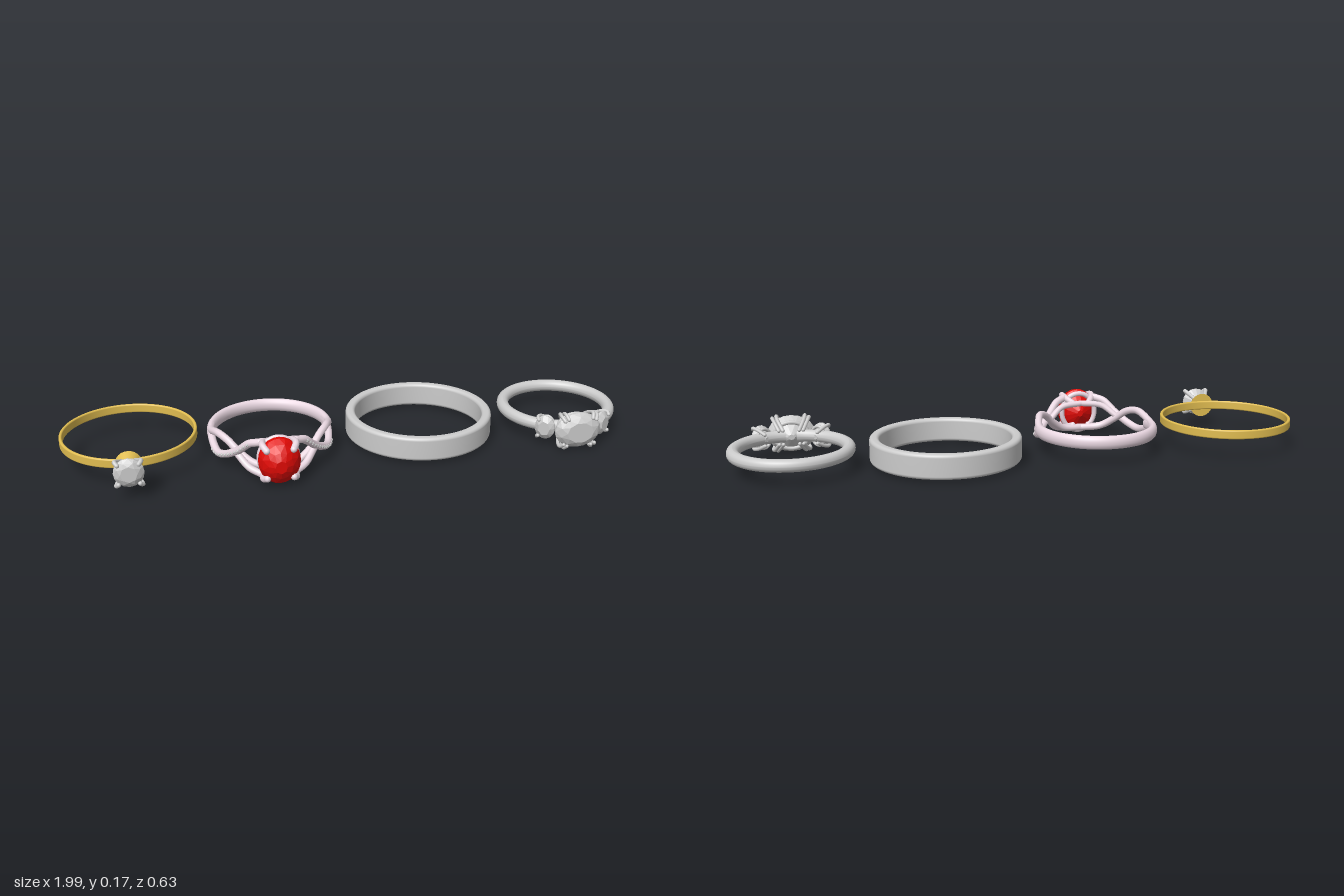
import * as THREE from 'three';
import { ConvexGeometry } from 'three/addons/geometries/ConvexGeometry.js';

const mat = (color, flatShading = false) => new THREE.MeshStandardMaterial({ color, flatShading });
const grey = mat(0xcccccc), gemGrey = mat(0xcccccc, true);
const gold = mat(0xe0bc50), rose = mat(0xead8e2), red = mat(0xe00a05, true);

const V = (x, y, z) => new THREE.Vector3(x, y, z);

function add(parent, name, geometry, material) {
  const mesh = new THREE.Mesh(geometry, material);
  mesh.name = name;
  parent.add(mesh);
  return mesh;
}

function ringGroup(parent, name, x, y, z) {
  const g = new THREE.Group();
  g.name = name;
  g.position.set(x, y, z);
  parent.add(g);
  return g;
}

// Wire along smooth points with rounded ends
function wire(parent, name, points, radius, material, segments = 32) {
  add(parent, name, new THREE.TubeGeometry(new THREE.CatmullRomCurve3(points), segments, radius, 10), material);
  for (const p of [points[0], points[points.length - 1]]) {
    add(parent, name + 'End', new THREE.SphereGeometry(radius, 10, 8), material).position.copy(p);
  }
}

// Ring band: a rounded rectangle section spun about y
function band(parent, name, outer, thickness, height, corner, material) {
  const pts = [], r = outer - thickness / 2;
  const corners = [[1, -1, -90], [1, 1, 0], [-1, 1, 90], [-1, -1, 180]];
  for (const [sx, sy, start] of corners) {
    for (let i = 0; i <= 5; i++) {
      const a = THREE.MathUtils.degToRad(start + i * 18);
      pts.push(new THREE.Vector2(
        r + sx * (thickness / 2 - corner) + Math.cos(a) * corner,
        sy * (height / 2 - corner) + Math.sin(a) * corner));
    }
  }
  pts.push(pts[0].clone());
  return add(parent, name, new THREE.LatheGeometry(pts, 96), material);
}

// Cut stone facing +z; each level is [relative radius, z, corners, half-step turn]
function gem(parent, name, rx, ry, levels, material) {
  const pts = [];
  for (const [k, z, n, turn] of levels) {
    for (let i = 0; i < n; i++) {
      const a = (i + (turn ? 0.5 : 0)) / n * Math.PI * 2;
      pts.push(V(Math.cos(a) * rx * k, Math.sin(a) * ry * k, z));
    }
  }
  return add(parent, name, new ConvexGeometry(pts), material);
}

// Oval wire lying across the z axis
function gallery(parent, name, rx, ry, z, tube, material) {
  const pts = [];
  for (let i = 0; i < 16; i++) {
    const a = i / 16 * Math.PI * 2;
    pts.push(V(Math.cos(a) * rx, Math.sin(a) * ry, z));
  }
  add(parent, name, new THREE.TubeGeometry(new THREE.CatmullRomCurve3(pts, true), 48, tube, 8, true), material);
}

const signs = [-1, 1];

// Thin gold ring with a round stone
function solitaire(root) {
  const g = ringGroup(root, 'solitaireRing', -0.765, 0.096, -0.025);
  band(g, 'goldBand', 0.233, 0.011, 0.032, 0.005, gold);
  const head = ringGroup(g, 'solitaireHead', 0, 0, 0.225);
  const collar = add(head, 'collar', new THREE.CylinderGeometry(0.03, 0.044, 0.032, 24), gold);
  collar.rotation.x = Math.PI / 2;
  collar.position.z = 0.02;
  gem(head, 'roundStone', 0.05, 0.05,
    [[0.1, 0.03, 8], [1, 0.07, 16], [1, 0.075, 16], [0.8, 0.085, 8, true], [0.55, 0.091, 8]], gemGrey);
  for (const sx of signs) for (const sy of signs) {
    wire(head, 'claw', [V(sx * 0.02, sy * 0.02, 0.028), V(sx * 0.033, sy * 0.033, 0.055),
      V(sx * 0.042, sy * 0.042, 0.078), V(sx * 0.034, sy * 0.034, 0.088)], 0.0075, grey, 14);
  }
}

// Twisted split-shank ring with an oval red stone
function twisted(root) {
  const g = ringGroup(root, 'twistedRing', -0.28, 0.085, -0.015);
  const R = 0.204;
  const at = (s, deg, y, r = R) => {
    const a = THREE.MathUtils.degToRad(deg);
    return V(s * Math.sin(a) * r, y, Math.cos(a) * r);
  };
  // rear band
  const arc = [];
  for (let i = 0; i <= 16; i++) arc.push(at(1, 82 + i * 12.25, 0));
  add(g, 'rearBand', new THREE.TubeGeometry(new THREE.CatmullRomCurve3(arc), 64, 0.0155, 14), rose).scale.y = 1.55;

  for (const s of signs) {
    // outer strand rises to the head, inner strand carries on round the finger
    const outer = [at(s, 105, -0.008), at(s, 88, -0.013), at(s, 64, -0.034, 0.211), at(s, 50, -0.022, 0.214),
      V(s * 0.125, 0.012, 0.187), V(s * 0.092, 0.047, 0.218), V(s * 0.06, 0.058, 0.24)];
    wire(g, 'outerStrand', outer, 0.0135, rose, 48);
    wire(g, 'innerStrand', [at(s, 105, 0.008), at(s, 88, 0.013), at(s, 64, 0.034), at(s, 50, 0.024),
      at(s, 36, -0.01), at(s, 20, -0.042), at(s, 0, -0.048)], 0.013, rose, 48);
    wire(g, 'upperBridge', [at(s, 38, 0.0), at(s, 22, 0.036), at(s, 0, 0.044)], 0.011, rose, 24);
    wire(g, 'lowerShoulder', [V(s * 0.13, -0.008, 0.172), V(s * 0.095, -0.043, 0.213),
      V(s * 0.06, -0.056, 0.24)], 0.0125, rose, 24);
    // small stones set along the outer strand
    const path = new THREE.CatmullRomCurve3(outer);
    for (let i = 0; i < 13; i++) {
      const p = path.getPointAt(0.34 + i * 0.045);
      const out = V(p.x, 0, p.z).normalize().multiplyScalar(0.01);
      add(g, 'accentStone', new THREE.IcosahedronGeometry(0.0075, 0), gemGrey).position.copy(p).add(out);
    }
  }

  // oval stone in its basket
  const head = ringGroup(g, 'redHead', 0, 0.003, 0.015);
  gem(head, 'redStone', 0.07, 0.081,
    [[0.15, 0.195, 8], [0.65, 0.22, 16, true], [1, 0.247, 24], [1, 0.262, 24], [0.86, 0.283, 12, true],
      [0.58, 0.301, 12], [0.28, 0.313, 8]], red);
  gallery(head, 'basketRail', 0.063, 0.07, 0.226, 0.0095, rose);
  for (const sx of signs) for (const sy of signs) {
    wire(head, 'claw', [V(sx * 0.03, sy * 0.042, 0.19), V(sx * 0.05, sy * 0.056, 0.225),
      V(sx * 0.055, sy * 0.06, 0.26), V(sx * 0.044, sy * 0.05, 0.286)], 0.0115, rose, 20);
  }
}

// Three-stone ring with an oval centre
function threeStone(root) {
  const g = ringGroup(root, 'threeStoneRing', 0.784, 0.073, -0.05);
  const shank = band(g, 'roundedBand', 0.213, 0.042, 0.043, 0.0205, grey);
  // flatten the front slightly under the head
  const p = shank.geometry.attributes.position;
  for (let i = 0; i < p.count; i++) if (p.getZ(i) > 0.17) p.setZ(i, 0.17 + (p.getZ(i) - 0.17) * 0.8);
  shank.geometry.computeVertexNormals();

  const head = ringGroup(g, 'threeStoneHead', 0, 0, 0.05);
  gem(head, 'centreStone', 0.083, 0.065,
    [[0.15, 0.115, 8], [0.7, 0.145, 12, true], [1, 0.172, 20], [1, 0.18, 20], [0.84, 0.196, 10, true],
      [0.58, 0.207, 10]], gemGrey);
  gallery(head, 'centreRail', 0.06, 0.047, 0.142, 0.007, grey);
  for (const sx of signs) {
    for (const sy of signs) for (const d of [0, 0.014]) {
      wire(head, 'centreClaw', [V(sx * (0.028 + d), sy * 0.025, 0.115), V(sx * (0.045 + d), sy * 0.053, 0.15),
        V(sx * (0.05 + d), sy * (0.063 - d * 0.5), 0.182), V(sx * (0.044 + d * 0.9), sy * (0.05 - d * 0.4), 0.199)],
      0.0065, grey, 16);
    }
    // tilted side stone with its own claws
    const side = ringGroup(head, sx > 0 ? 'leftSideStone' : 'rightSideStone', sx * 0.082, 0, 0.1);
    side.rotation.y = sx * 0.6;
    gem(side, 'sideStone', 0.036, 0.044,
      [[0.2, 0.0, 8], [1, 0.038, 14], [1, 0.044, 14], [0.6, 0.058, 7]], gemGrey);
    gallery(side, 'sideRail', 0.027, 0.034, 0.02, 0.006, grey);
    for (const sy of signs) {
      wire(side, 'sideClaw', [V(sx * 0.012, sy * 0.02, -0.005), V(sx * 0.022, sy * 0.034, 0.025),
        V(sx * 0.026, sy * 0.037, 0.046), V(sx * 0.02, sy * 0.03, 0.056)], 0.0065, grey, 14);
    }
  }
}

export function createModel() {
  const root = new THREE.Group();
  root.name = 'ringSet';
  solitaire(root);
  twisted(root);
  // plain wide band
  const plain = ringGroup(root, 'plainRing', 0.263, 0.056, -0.052);
  band(plain, 'wideBand', 0.262, 0.034, 0.086, 0.012, grey);
  threeStone(root);
  return root;
}
